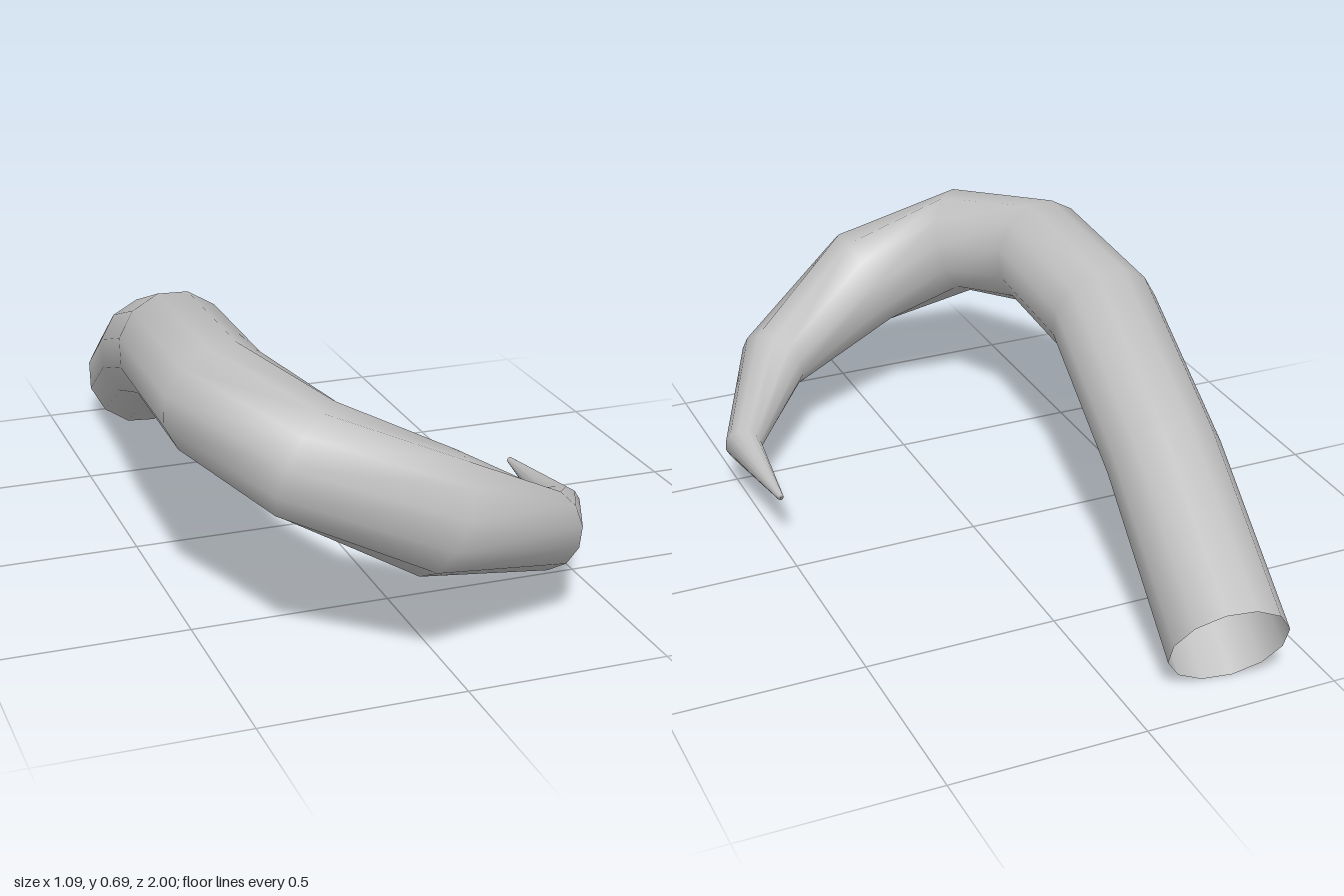
import * as THREE from 'three';

const SIDES = 12;

// Centre line of the horn with its radius: [x, y, z, r]
const STATIONS = [
  [-0.243, 0.129, -0.935, 0.148],
  [-0.32, 0.369, -0.45, 0.146],
  [-0.39, 0.54, 0.03, 0.146],
  [-0.405, 0.552, 0.45, 0.148],
  [-0.285, 0.497, 0.74, 0.148],
  [-0.02, 0.378, 0.853, 0.148],
  [0.31, 0.233, 0.718, 0.098],
  [0.5, 0.147, 0.422, 0.049],
  [0.5, 0.148, 0.11, 0.008],
];

// Smooth tube whose rings are mitred at each bend; open at the root, closed at the tip
function hornGeometry() {
  const centres = STATIONS.map(([x, y, z]) => new THREE.Vector3(x, y, z));
  const last = centres.length - 1;
  const heading = (i) => {
    const k = THREE.MathUtils.clamp(i, 0, last - 1);
    return centres[k + 1].clone().sub(centres[k]).normalize();
  };
  const positions = [];
  const index = [];

  centres.forEach((c, i) => {
    const along = heading(i - 1).add(heading(i)).normalize();
    const up = new THREE.Vector3(0, 1, 0).projectOnPlane(along).normalize();
    const side = up.clone().cross(along);
    for (let j = 0; j < SIDES; j++) {
      const a = ((j + 0.5) / SIDES) * Math.PI * 2;
      const p = c.clone()
        .addScaledVector(side, Math.cos(a) * STATIONS[i][3])
        .addScaledVector(up, Math.sin(a) * STATIONS[i][3]);
      positions.push(p.x, p.y, p.z);
    }
  });

  for (let i = 0; i < last; i++) {
    for (let j = 0; j < SIDES; j++) {
      const a = i * SIDES + j;
      const b = i * SIDES + ((j + 1) % SIDES);
      index.push(a, b, a + SIDES, b, b + SIDES, a + SIDES);
    }
  }

  // Tip cap
  const tip = last * SIDES;
  for (let j = 1; j < SIDES - 1; j++) index.push(tip, tip + j, tip + j + 1);

  const geometry = new THREE.BufferGeometry();
  geometry.setAttribute('position', new THREE.Float32BufferAttribute(positions, 3));
  geometry.setIndex(index);
  geometry.computeVertexNormals();
  return geometry;
}

export function createModel() {
  const hornGrey = new THREE.MeshStandardMaterial({ color: 0xc0c0c0, side: THREE.DoubleSide });
  hornGrey.name = 'horn grey';

  const horn = new THREE.Mesh(hornGeometry(), hornGrey);
  horn.name = 'curvedHorn';

  const model = new THREE.Group();
  model.name = 'horn';
  model.add(horn);
  return model;
}
